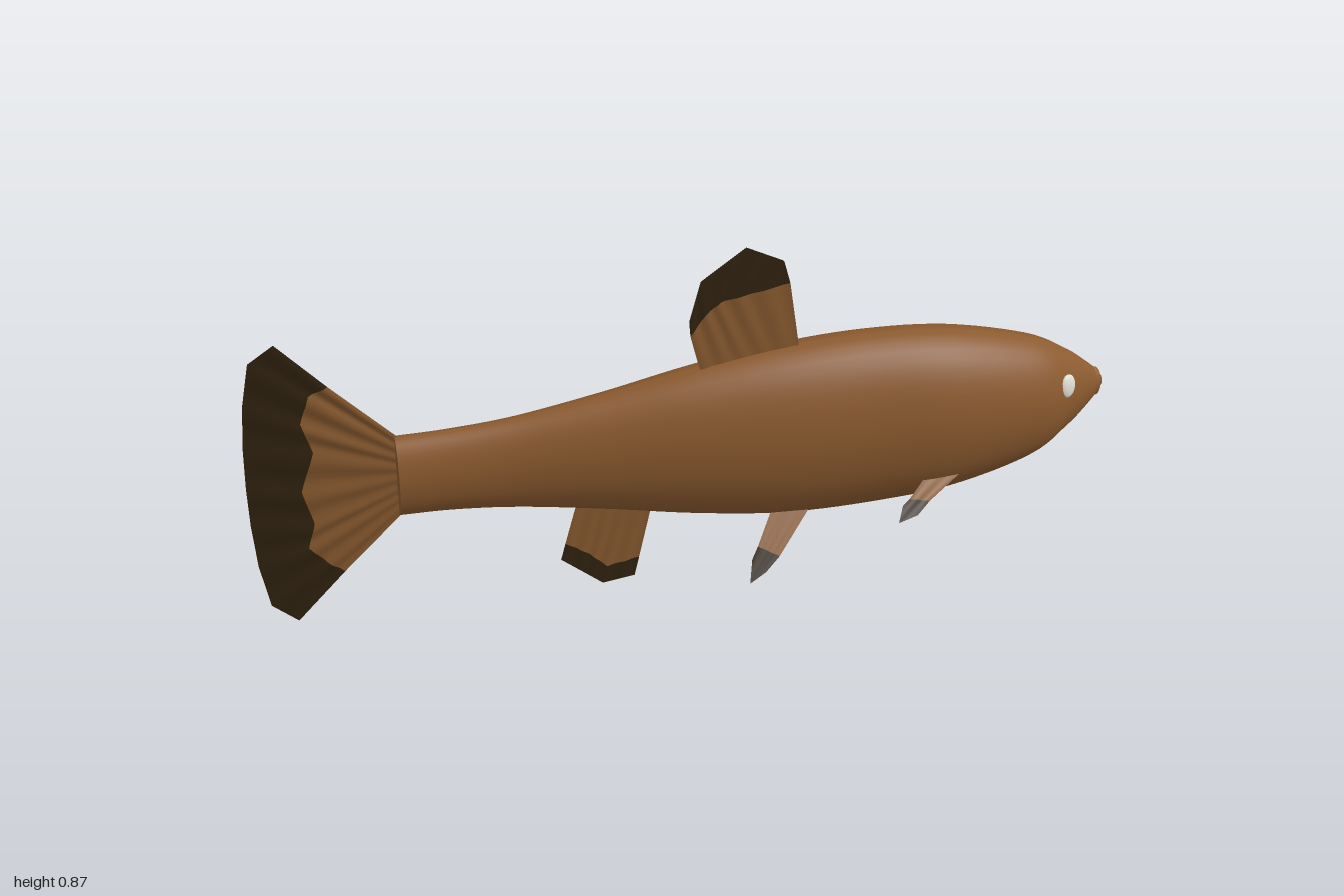
import * as THREE from 'three';

const brown = new THREE.MeshStandardMaterial({ color: 0x8b5a2f });
brown.name = 'body brown';
const finBrown = new THREE.MeshStandardMaterial({ color: 0x87592f, side: THREE.DoubleSide });
finBrown.name = 'fin brown';
const finDark = new THREE.MeshStandardMaterial({ color: 0x30220f, side: THREE.DoubleSide });
finDark.name = 'fin edge dark';
const white = new THREE.MeshStandardMaterial({ color: 0xdcdcd2 });
white.name = 'eye white';

// Grid of rows x columns of points to an indexed, smooth surface
function surface(rows) {
  const cols = rows[0].length, index = [];
  for (let i = 0; i < rows.length - 1; i++) {
    for (let j = 0; j < cols - 1; j++) {
      const a = i * cols + j, b = a + cols;
      index.push(a, a + 1, b, b, a + 1, b + 1);
    }
  }
  const geo = new THREE.BufferGeometry();
  geo.setAttribute('position', new THREE.Float32BufferAttribute(rows.flat(2), 3));
  geo.setIndex(index);
  geo.computeVertexNormals();
  return geo;
}

function mesh(geo, mat, name) {
  const m = new THREE.Mesh(geo, mat);
  m.name = name;
  return m;
}

// Evenly sampled polyline
function sample(line, t) {
  const f = t * (line.length - 1), i = Math.min(Math.floor(f), line.length - 2), k = f - i;
  return line[i].map((v, c) => v + (line[i + 1][c] - v) * k);
}

// Fin: brown from base to band line, dark from band line to rim, lightly rippled by rays
function fin(name, base, band, rim, zAt, rays, depth) {
  const n = 48;
  const row = (a, b, k, amp) => Array.from({ length: n + 1 }, (_, i) => {
    const t = i / n, p = sample(a, t), q = sample(b, t);
    const v = p.map((c, j) => c + (q[j] - c) * k);
    const ripple = amp * Math.sin(t * rays * Math.PI * 2);
    return [v[0], v[1], (v.length > 2 ? v[2] : zAt(v[0])) + ripple];
  });
  const g = new THREE.Group();
  g.name = name;
  g.add(mesh(surface([row(base, band, 0, 0), row(base, band, 0.5, depth), row(base, band, 1, depth)]), finBrown, name + 'Web'));
  g.add(mesh(surface([row(band, rim, 0, depth), row(band, rim, 1, 0)]), finDark, name + 'Edge'));
  return g;
}

export function createModel() {
  const fish = new THREE.Group();
  fish.name = 'fish';

  // Body stations: x, top, bottom, centre z, half width
  const stations = [
    [-0.67, 0.478, 0.278, -0.022, 0.049], [-0.55, 0.482, 0.277, -0.018, 0.05],
    [-0.4, 0.497, 0.265, -0.012, 0.055], [-0.2, 0.535, 0.236, -0.003, 0.075],
    [0, 0.577, 0.2, 0.002, 0.1], [0.2, 0.604, 0.173, 0.002, 0.118],
    [0.4, 0.61, 0.167, -0.003, 0.125], [0.6, 0.592, 0.181, -0.008, 0.126],
    [0.8, 0.533, 0.222, -0.026, 0.104], [0.9, 0.474, 0.274, -0.043, 0.068],
    [0.95, 0.434, 0.312, -0.05, 0.042], [0.977, 0.41, 0.338, -0.053, 0.026],
  ];
  const curve = (a, b) => new THREE.CatmullRomCurve3(
    stations.map(s => new THREE.Vector3(s[0], s[a], s[b])), false, 'catmullrom', 0.5);
  const heights = curve(1, 2), widths = curve(3, 4);
  const ring = (t, k = 1) => {
    const h = heights.getPoint(t), w = widths.getPoint(t);
    return Array.from({ length: 41 }, (_, j) => {
      const a = j / 40 * Math.PI * 2;
      return [h.x, (h.y + h.z) / 2 + k * Math.cos(a) * (h.y - h.z) / 2, w.y + k * Math.sin(a) * w.z];
    });
  };
  fish.add(mesh(surface(Array.from({ length: 67 }, (_, i) => ring(i / 66))), brown, 'body'));
  fish.add(mesh(surface([ring(0, 0), ring(0)]), brown, 'tailStump'));

  // Mouth: rounded lip with a small bulge in the middle
  const profile = [[0.026, 0], [0.024, 0.007], [0.02, 0.01], [0.015, 0.006], [0.013, 0.012], [0.008, 0.019], [0, 0.022]];
  const mouth = mesh(new THREE.LatheGeometry(profile.map(p => new THREE.Vector2(...p)), 32), brown, 'mouth');
  mouth.rotation.z = -Math.PI / 2;
  mouth.scale.set(1.42, 1, 1);
  mouth.position.set(0.977, 0.374, -0.053);
  fish.add(mouth);

  // Eyes
  for (const s of [1, -1]) {
    const eye = mesh(new THREE.SphereGeometry(1, 24, 16), white, s > 0 ? 'rightEye' : 'leftEye');
    eye.scale.set(0.022, 0.028, 0.009);
    eye.position.set(0.88, 0.422, -0.04 + s * 0.07);
    eye.rotation.set(-s * 0.2, s * 0.45, 0);
    fish.add(eye);
  }

  // Tail fin
  fish.add(fin('tailFin',
    [[-0.66, 0.476], [-0.66, 0.28]],
    [[-0.805, 0.618], [-0.848, 0.596], [-0.87, 0.527], [-0.848, 0.452], [-0.88, 0.35],
      [-0.858, 0.265], [-0.875, 0.2], [-0.837, 0.158], [-0.8, 0.13]],
    [[-0.912, 0.73], [-0.97, 0.687], [-0.99, 0.58], [-0.998, 0.47], [-1, 0.37],
      [-0.998, 0.27], [-0.99, 0.16], [-0.97, 0.05], [-0.912, 0.003]],
    x => -0.022 + (x + 0.66) * 0.105, 8, 0.003));

  // Dorsal and anal fins
  fish.add(fin('dorsalFin',
    [[0.018, 0.55], [0.242, 0.59]],
    [[-0.01, 0.665], [0.025, 0.715], [0.06, 0.742], [0.125, 0.752], [0.217, 0.767]],
    [[-0.013, 0.703], [0.013, 0.8], [0.115, 0.87], [0.2, 0.826], [0.203, 0.82]],
    x => 0.014 - x * 0.03, 5, 0.0015));
  fish.add(fin('analFin',
    [[-0.272, 0.27], [-0.1, 0.235]],
    [[-0.302, 0.158], [-0.249, 0.122], [-0.206, 0.08], [-0.131, 0.094]],
    [[-0.313, 0.115], [-0.265, 0.075], [-0.217, 0.035], [-0.142, 0.045]],
    () => 0.011, 5, 0.0015));

  // Paired fins, mirrored about the belly line
  for (const s of [1, -1]) {
    const side = s > 0 ? 'right' : 'left';
    const flip = (mid, pts) => pts.map(([x, y, z]) => [x, y, mid + s * z]);
    fish.add(fin(side + 'PectoralFin',
      flip(-0.003, [[0.53, 0.268, 0.09], [0.62, 0.265, 0.085]]),
      flip(-0.003, [[0.475, 0.238, 0.135], [0.52, 0.232, 0.145]]),
      flip(-0.003, [[0.455, 0.232, 0.15], [0.436, 0.21, 0.184], [0.485, 0.215, 0.17]]),
      null, 2, 0.001));
    fish.add(fin(side + 'PelvicFin',
      flip(0.01, [[0.165, 0.205, 0.055], [0.255, 0.2, 0.055]]),
      flip(0.01, [[0.125, 0.148, 0.1], [0.172, 0.125, 0.117]]),
      flip(0.01, [[0.108, 0.125, 0.115], [0.095, 0.083, 0.149], [0.135, 0.1, 0.137]]),
      null, 2, 0.001));
  }
  return fish;
}
